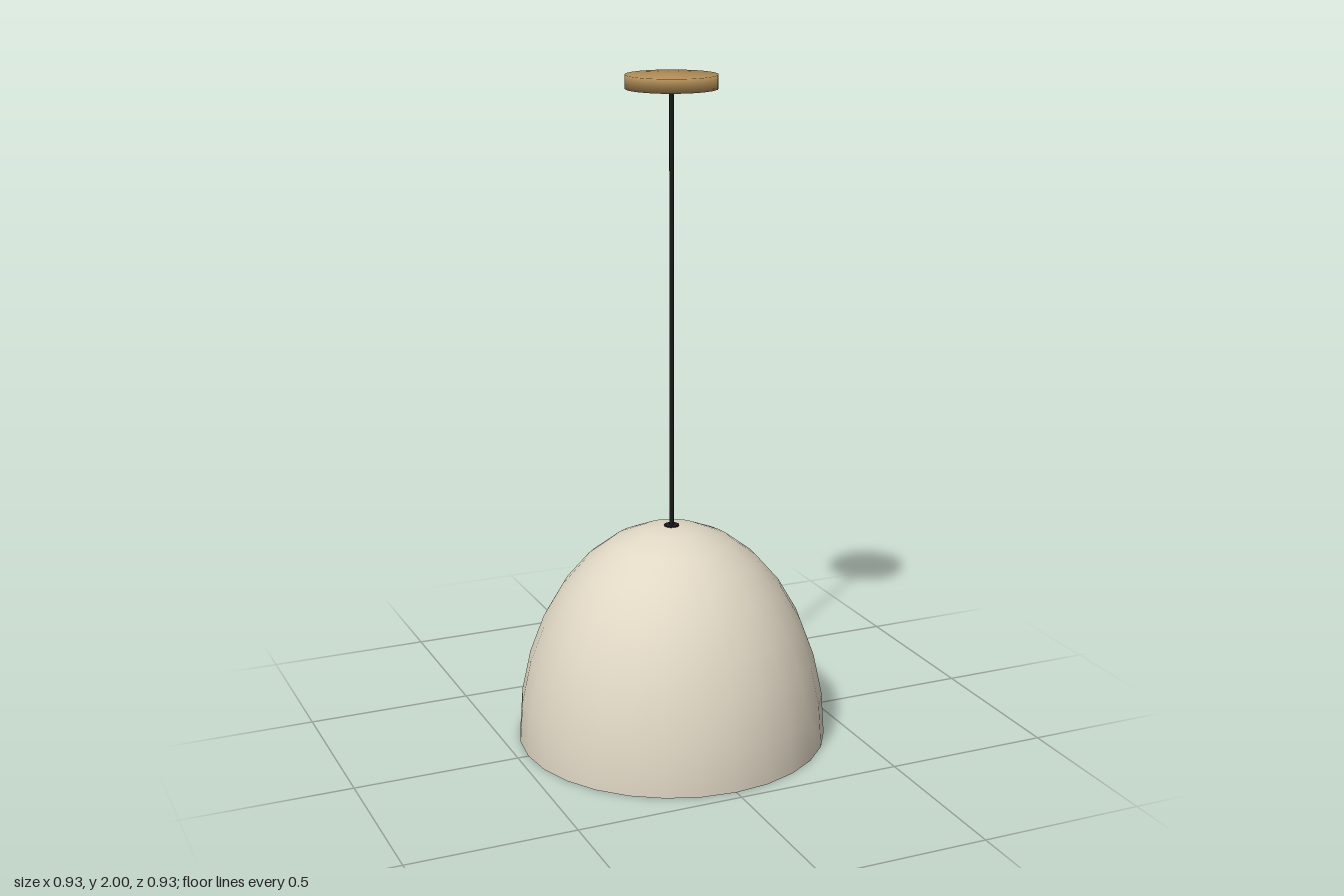
import * as THREE from 'three';
import { mergeVertices } from 'three/addons/utils/BufferGeometryUtils.js';

const cream = new THREE.MeshStandardMaterial({ color: 0xe0d7c4, side: THREE.DoubleSide });
cream.name = 'cream enamel';
const brass = new THREE.MeshStandardMaterial({ color: 0xb08d57 });
brass.name = 'brass';
const black = new THREE.MeshStandardMaterial({ color: 0x1a1a1a });
black.name = 'black cord';

// Shares vertices so that shading runs softly over every edge
function softened(geometry) {
  geometry.deleteAttribute('normal');
  geometry.deleteAttribute('uv');
  const merged = mergeVertices(geometry);
  merged.computeVertexNormals();
  return merged;
}

export function createModel() {
  const lamp = new THREE.Group();
  lamp.name = 'pendantLamp';

  const add = (name, geometry, material, y = 0) => {
    const mesh = new THREE.Mesh(geometry, material);
    mesh.name = name;
    mesh.position.y = y;
    lamp.add(mesh);
  };

  // Ceiling canopy
  add('canopy', softened(new THREE.CylinderGeometry(0.133, 0.133, 0.04, 20)), brass, 1.98);

  // Hanging cord
  add('cord', new THREE.CylinderGeometry(0.0067, 0.0067, 1.31, 6), black, 1.315);

  // Open half-ellipsoid shade
  const dome = new THREE.SphereGeometry(0.467, 28, 8, 0, Math.PI * 2, 0, Math.PI / 2);
  dome.scale(1, 0.667 / 0.467, 1);
  add('shade', dome, cream);

  // Lamp holder, just breaking through the top of the shade
  add('socket', new THREE.CylinderGeometry(0.023, 0.023, 0.19, 12), black, 0.572);

  // Bulb tapering to a point at the bottom
  const profile = [[0, 0.18], [0.05, 0.235], [0.1, 0.3], [0.11, 0.35], [0.085, 0.42], [0.04, 0.48], [0, 0.49]];
  add('bulb', new THREE.LatheGeometry(profile.map(([r, y]) => new THREE.Vector2(r, y)), 16), cream);

  return lamp;
}
